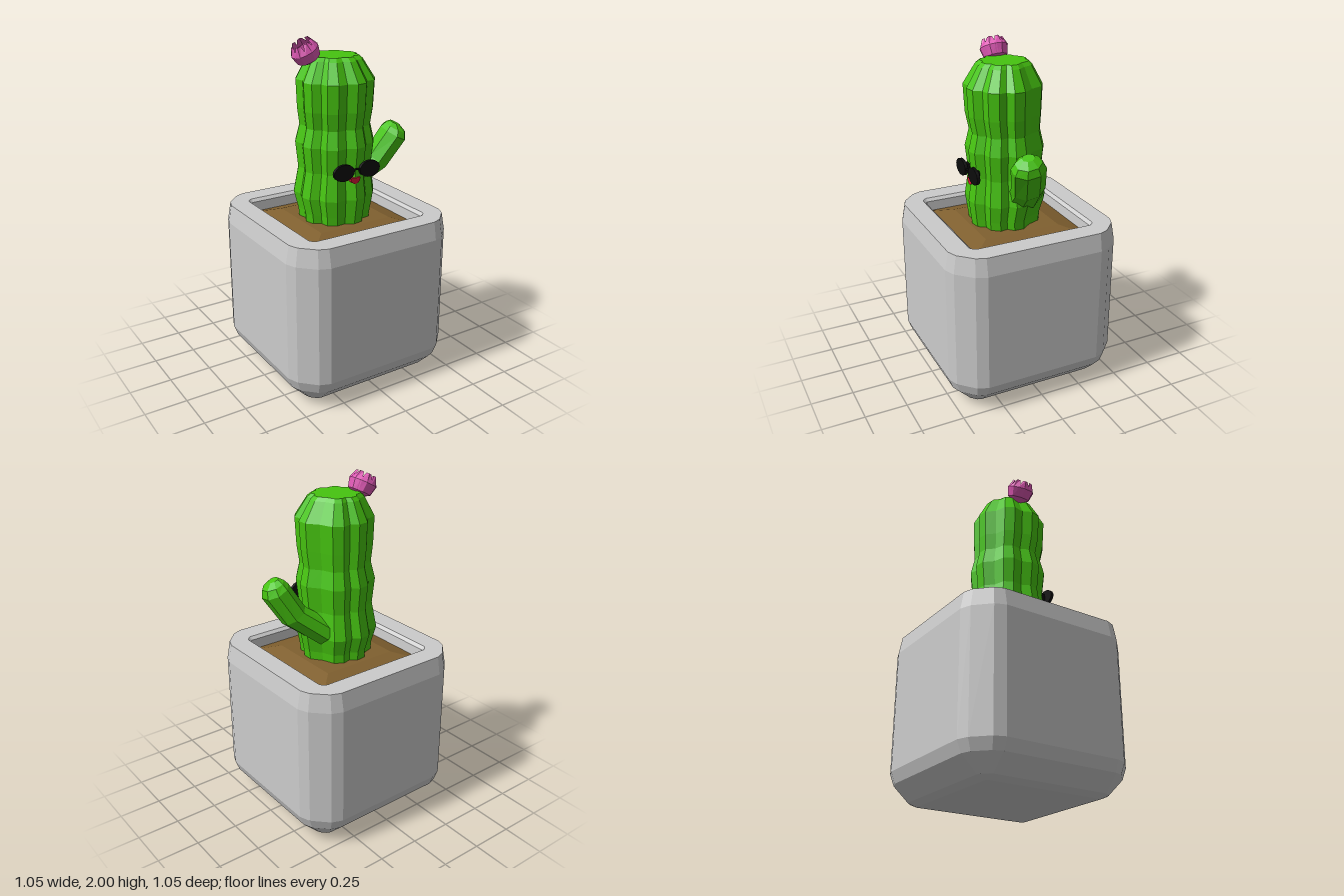
import * as THREE from 'three';

const V = (x, y, z) => new THREE.Vector3(x, y, z);
const mat = (color, side = THREE.FrontSide) =>
  new THREE.MeshStandardMaterial({ color, side, flatShading: true });
const green = mat(0x46c410), black = mat(0x0c0c0c), red = mat(0xd81838);
const grey = mat(0xcccccc), brown = mat(0x80602f), pink = mat(0xde58b4, THREE.DoubleSide);

// Skin a list of closed rings (each running from +x towards +z), optionally capped
function loft(rings, capStart, capEnd) {
  const p = [], n = rings[0].length;
  const tri = (...vs) => vs.forEach(v => p.push(v.x, v.y, v.z));
  const mid = r => r.reduce((s, v) => s.add(v), V(0, 0, 0)).divideScalar(n);
  for (let j = 0; j < n; j++) {
    const k = (j + 1) % n;
    for (let i = 0; i < rings.length - 1; i++) {
      const a = rings[i], b = rings[i + 1];
      tri(a[j], b[j], a[k]);
      tri(a[k], b[j], b[k]);
    }
    const s = rings[0], e = rings[rings.length - 1];
    if (capStart) tri(mid(s), s[j], s[k]);
    if (capEnd) tri(mid(e), e[k], e[j]);
  }
  const g = new THREE.BufferGeometry();
  g.setAttribute('position', new THREE.Float32BufferAttribute(p, 3));
  g.computeVertexNormals();
  return g;
}

function add(parent, name, geometry, material, x = 0, y = 0, z = 0) {
  const m = new THREE.Mesh(geometry, material);
  m.name = name;
  m.position.set(x, y, z);
  parent.add(m);
  return m;
}

// Square ring with bevelled corners around a fixed core
function squareRing(half, y, core = 0.35) {
  const r = half - core, ring = [];
  for (let q = 0; q < 4; q++)
    for (const [dx, dz] of [[1, 0], [0.86, 0.36], [0.36, 0.86], [0, 1]]) {
      let x = core + dx * r, z = core + dz * r;
      for (let i = 0; i < q; i++) [x, z] = [-z, x];
      ring.push(V(x, y, z));
    }
  return ring;
}

// Ribbed ring: two ridge points and one valley point per rib
const ribs = [0, 38, 80, 125, 165, 212, 262, 302];
function ribbedRing([y, r, cx, cz]) {
  const ring = [];
  ribs.forEach((a, i) => {
    const next = i < ribs.length - 1 ? ribs[i + 1] : 360;
    for (const [deg, k] of [[a - 8, 1], [a + 8, 1], [(a + next) / 2, 0.88]]) {
      const t = THREE.MathUtils.degToRad(deg);
      ring.push(V(cx + Math.cos(t) * r * k, y, cz + Math.sin(t) * r * k));
    }
  });
  return ring;
}

// Eight-sided tube ring across a path
function tubeRing(centre, dir, r) {
  const t = dir.clone().normalize();
  const u = V(0, 0, 1).cross(t).normalize(), v = u.clone().cross(t);
  return Array.from({ length: 8 }, (_, i) => {
    const a = (i + 0.5) * Math.PI / 4;
    return centre.clone().addScaledVector(u, Math.cos(a) * r * 0.88).addScaledVector(v, Math.sin(a) * r * 1.08);
  });
}

function makeFlower() {
  const flower = new THREE.Group();
  flower.name = 'flower';
  // radius, height and half width up one petal
  const rows = [[0.01, 0, 0.012], [0.068, 0.03, 0.034], [0.082, 0.085, 0.04], [0.06, 0.135, 0.014]];
  for (let i = 0; i < 7; i++) {
    const g = new THREE.PlaneGeometry(1, 1, 2, 3), p = g.attributes.position;
    for (let k = 0; k < p.count; k++) {
      const [r, h, w] = rows[3 - Math.floor(k / 3)], s = (k % 3) - 1;
      p.setXYZ(k, s * w, h, r - Math.abs(s) * 0.012);
    }
    g.computeVertexNormals();
    add(flower, 'petal', g, pink).rotation.y = i * Math.PI * 2 / 7;
  }
  add(flower, 'flowerHeart', new THREE.IcosahedronGeometry(0.036, 0), pink, 0, 0.045, 0);
  flower.position.set(-0.14, 1.85, -0.015);
  flower.rotation.z = 0.5;
  return flower;
}

export function createModel() {
  const model = new THREE.Group();
  model.name = 'pottedCactus';

  // Pot, from the underside up and over the rim
  const pot = [[0.36, 0], [0.41, 0.02], [0.5, 0.11], [0.525, 0.175], [0.525, 0.88], [0.505, 0.985],
    [0.385, 0.985], [0.366, 0.968], [0.36, 0.89]];
  add(model, 'pot', loft(pot.map(([h, y]) => squareRing(h, y)), true, false), grey);

  // Soil with a low mound
  add(model, 'soil', loft([squareRing(0.36, 0.91, 0.36), squareRing(0.23, 0.95, 0.23)], false, true), brown);

  // Trunk: y, radius, x and z of the centre
  const trunk = [[0.93, 0.205, -0.005, 0.005], [1.0, 0.212, -0.005, 0.008], [1.1, 0.234, -0.005, 0],
    [1.25, 0.21, -0.002, 0.004], [1.4, 0.226, -0.002, 0.005], [1.5, 0.202, 0, 0.005],
    [1.6, 0.215, -0.003, 0.012], [1.76, 0.222, -0.003, 0.014], [1.87, 0.158, -0.006, 0.008], [1.89, 0.135, -0.006, 0.005]];
  add(model, 'trunk', loft(trunk.map(ribbedRing), true, true), green);

  // Arm, bent upwards
  const arm = [
    [V(0.13, 1.12, -0.06), V(1, 0.7, 0.3), 0.092],
    [V(0.295, 1.243, 0.0), V(0.7, 1, 0.35), 0.09],
    [V(0.384, 1.395, 0.045), V(0.5, 1, 0.2), 0.092],
    [V(0.393, 1.43, 0.05), V(0.4, 1, 0.2), 0.072],
    [V(0.39, 1.458, 0.052), V(0.4, 1, 0.2), 0.034]];
  add(model, 'arm', loft(arm.map(a => tubeRing(...a)), true, true), green);

  model.add(makeFlower());

  // Sunglasses
  const glasses = new THREE.Group();
  glasses.name = 'sunglasses';
  for (const side of [-1, 1]) {
    const lens = new THREE.CylinderGeometry(1, 1, 0.018, 20).rotateX(Math.PI / 2).scale(0.067, 0.048, 1);
    add(glasses, 'lens', lens, black, side * 0.085, 1.277, 0.233);
    add(glasses, 'lensMount', new THREE.BoxGeometry(0.04, 0.05, 0.03), black, side * 0.068, 1.277, 0.214);
  }
  const bridge = new THREE.QuadraticBezierCurve3(V(-0.03, 1.272, 0.232), V(0, 1.3, 0.232), V(0.03, 1.272, 0.232));
  add(glasses, 'bridge', new THREE.TubeGeometry(bridge, 8, 0.006, 6), black);
  model.add(glasses);

  // Mouth, flat above and round below
  const smile = new THREE.Shape();
  smile.moveTo(-0.032, 0.018);
  smile.bezierCurveTo(-0.032, -0.028, 0.032, -0.028, 0.032, 0.018);
  smile.closePath();
  add(model, 'mouth', new THREE.ExtrudeGeometry(smile, { depth: 0.035, bevelEnabled: false, curveSegments: 8 }),
    red, 0, 1.213, 0.19);

  return model;
}
